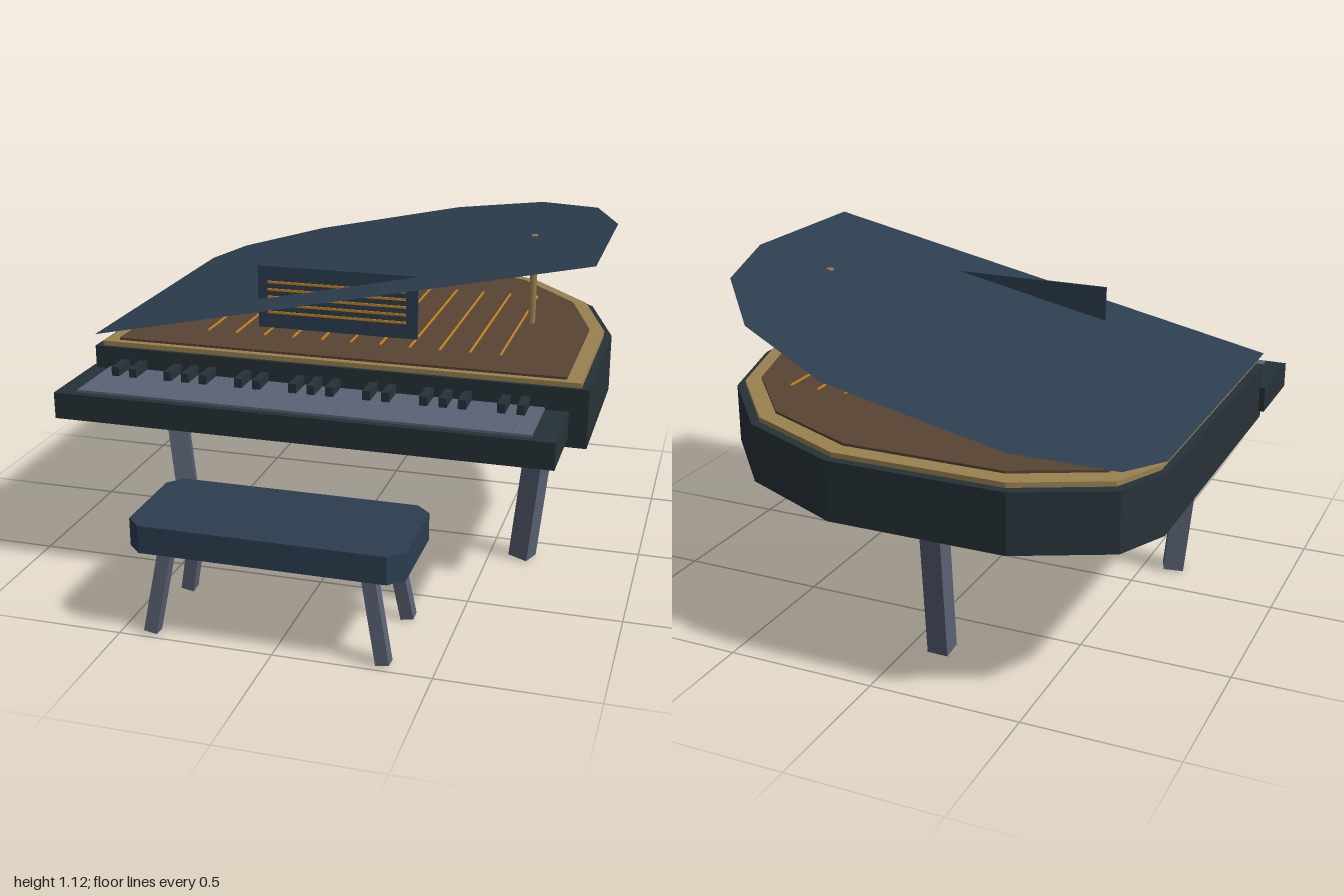
import * as THREE from 'three';

const mat = (name, color, side = THREE.FrontSide) => {
  const m = new THREE.MeshStandardMaterial({ color, side });
  m.name = name;
  return m;
};

export function createModel() {
  const body = mat('dark case', 0x263238);
  const lidBlue = mat('navy lacquer', 0x2c3e50, THREE.DoubleSide);
  const grey = mat('grey', 0x5a6275);
  const gold = mat('dull gold', 0x9a8250);
  const amber = mat('amber string', 0xc8861d);
  const brown = mat('brown soundboard', 0x5a4434);

  const root = new THREE.Group();
  root.name = 'grandPiano';
  const add = (name, geo, material, x = 0, y = 0, z = 0, parent = root) => {
    const m = new THREE.Mesh(geo, material);
    m.name = name;
    m.position.set(x, y, z);
    parent.add(m);
    return m;
  };
  const group = (name) => {
    const g = new THREE.Group();
    g.name = name;
    root.add(g);
    return g;
  };
  // Box given by its limits on each axis
  const box = (name, material, [x0, x1], [y0, y1], [z0, z1], parent) =>
    add(name, new THREE.BoxGeometry(x1 - x0, y1 - y0, z1 - z0), material,
      (x0 + x1) / 2, (y0 + y1) / 2, (z0 + z1) / 2, parent);
  // Plan outlines are [x, z]; slabs are extruded upward
  const planShape = (pts, s = 1) =>
    new THREE.Shape(pts.map(([x, z]) => new THREE.Vector2(x * s, -z * s)));
  const slab = (name, pts, s, y0, y1, material) =>
    add(name, new THREE.ExtrudeGeometry(planShape(pts, s), { depth: y1 - y0, bevelEnabled: false })
      .rotateX(-Math.PI / 2), material, 0, y0);
  // Square leg from foot to top, turned about its own axis
  const leg = (name, top, foot, size, turn, parent) => {
    const a = new THREE.Vector3(...foot), b = new THREE.Vector3(...top);
    const d = b.clone().sub(a);
    const m = add(name, new THREE.BoxGeometry(size, d.length(), size).rotateY(turn), grey, 0, 0, 0, parent);
    m.position.copy(a).add(b).multiplyScalar(0.5);
    m.quaternion.setFromUnitVectors(new THREE.Vector3(0, 1, 0), d.normalize());
  };

  // Case, rim and soundboard share one outline
  const outline = [
    [-0.825, 0.4], [0.845, 0.4], [0.845, -0.19], [0.735, -0.54], [0.49, -0.83],
    [0.125, -1], [-0.455, -1], [-0.745, -0.86], [-0.825, -0.69],
  ];
  slab('case', outline, 1, 0.53, 0.725, body);
  slab('rim', outline, 0.97, 0.725, 0.741, gold);
  slab('soundboard', outline, 0.91, 0.741, 0.749, brown);

  // Strings
  const strings = group('strings');
  for (let i = 0; i < 11; i++) {
    const x = -0.49 + i * 0.102;
    box('string', amber, [x - 0.003, x + 0.003], [0.749, 0.754], [-0.53, 0.21], strings);
  }

  // Open lid: a flat sheet rising toward +x
  const lidGeo = new THREE.ShapeGeometry(planShape(outline)).rotateX(-Math.PI / 2);
  const p = lidGeo.attributes.position;
  for (let i = 0; i < p.count; i++) p.setY(i, 0.765 + (p.getX(i) + 0.825) * 0.2126);
  lidGeo.computeVertexNormals();
  add('lid', lidGeo, lidBlue);

  // Lid prop
  add('lidProp', new THREE.CylinderGeometry(0.013, 0.013, 0.325, 6), gold, 0.565, 0.9025, -0.19);

  // Music desk with five ruled lines
  box('musicDesk', lidBlue, [-0.305, 0.25], [0.78, 0.995], [0.2, 0.208]);
  const lines = group('deskLines');
  [0.94, 0.914, 0.888, 0.862, 0.835].forEach((y) =>
    box('deskLine', amber, [-0.27, 0.21], [y - 0.004, y + 0.004], [0.207, 0.212], lines));

  // Keyboard
  box('keyBed', body, [-0.845, 0.785], [0.56, 0.648], [0.37, 0.675]);
  const keys = group('keys');
  const w = 0.0619;
  for (let k = 0; k < 24; k++) {
    const x = -0.775 + k * w;
    box('whiteKey', grey, [x + 0.001, x + w - 0.001], [0.64, 0.656], [0.4, 0.65], keys);
    if ([1, 2, 4, 5, 6].includes(k % 7))
      box('blackKey', body, [x - 0.013, x + 0.013], [0.65, 0.687], [0.395, 0.49], keys);
  }

  // Piano legs, leaning inward at the foot
  const legs = group('pianoLegs');
  leg('frontLeg', [0.668, 0.535, 0.125], [0.612, 0.004, 0.12], 0.07, -0.33, legs);
  leg('frontLeg', [-0.652, 0.535, 0.165], [-0.602, 0.004, 0.16], 0.07, 0.33, legs);
  leg('rearLeg', [-0.11, 0.535, -0.77], [-0.105, 0.004, -0.71], 0.07, 0, legs);

  // Bench: seat with cut corners and four splayed legs
  const cx = -0.031, cz = 0.81, hx = 0.437, hz = 0.19, c = 0.047;
  const seat = [
    [-hx, hz - c], [-hx + c, hz], [hx - c, hz], [hx, hz - c],
    [hx, -hz + c], [hx - c, -hz], [-hx + c, -hz], [-hx, -hz + c],
  ].map(([x, z]) => [x + cx, z + cz]);
  slab('benchSeat', seat, 1, 0.283, 0.373, lidBlue);
  const benchLegs = group('benchLegs');
  for (const sx of [-1, 1]) for (const sz of [-1, 1])
    leg('benchLeg', [cx + sx * 0.32, 0.29, cz + sz * 0.13],
      [cx + sx * 0.373, 0.004, cz + sz * 0.151], 0.043, 0, benchLegs);

  return root;
}
